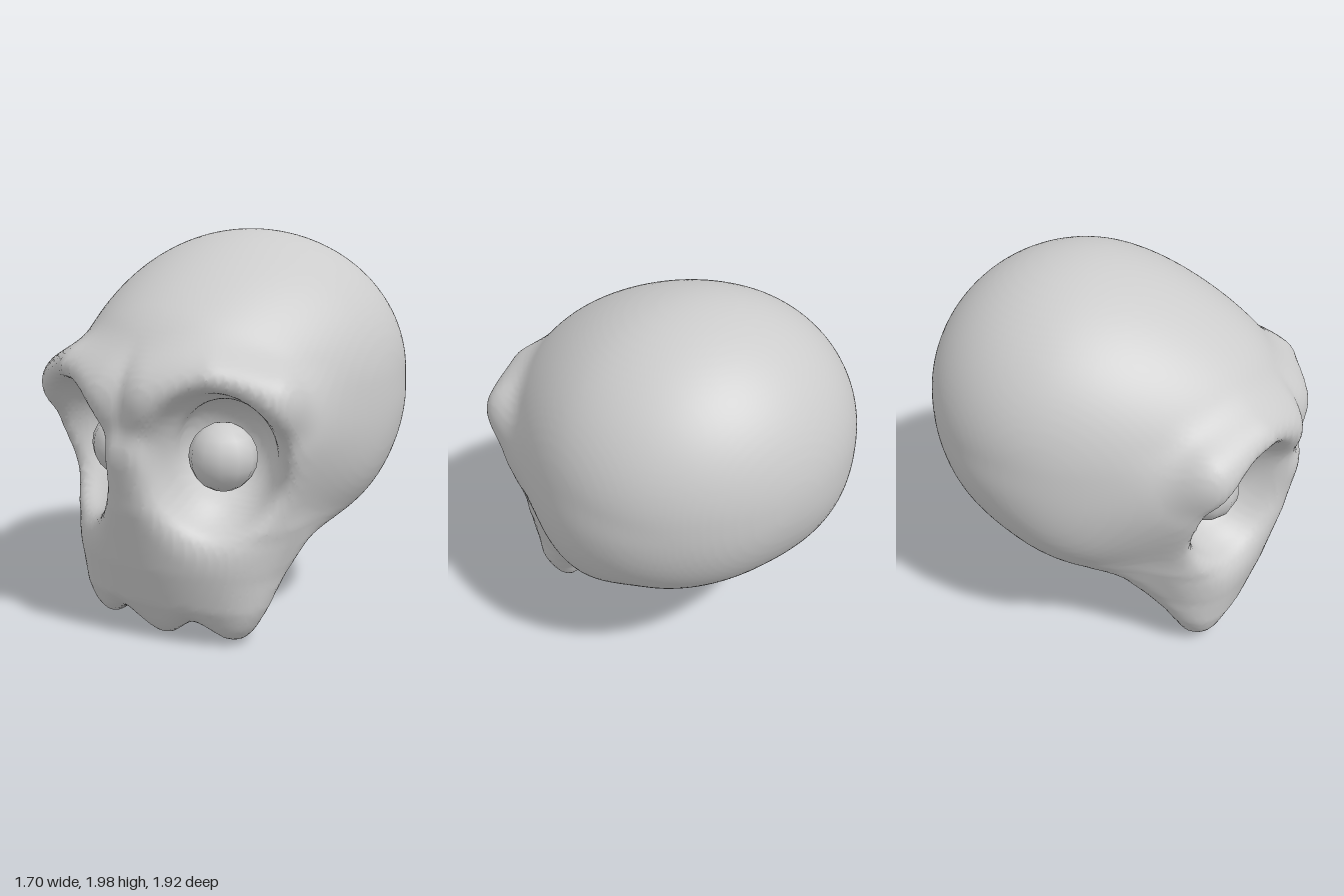
import * as THREE from 'three';

// ---- small field helpers (negative inside) ----
const smin = (a, b, k) => {
  const h = Math.max(k - Math.abs(a - b), 0);
  return Math.min(a, b) - h * h / (4 * k);
};
const smax = (a, b, k) => -smin(-a, -b, k);
const ellipsoid = (x, y, z, cx, cy, cz, rx, ry, rz) =>
  (Math.hypot((x - cx) / rx, (y - cy) / ry, (z - cz) / rz) - 1) * Math.min(rx, ry, rz);
const capsule = (x, y, z, a, b, r) => {
  const d = b.map((v, i) => v - a[i]), p = [x - a[0], y - a[1], z - a[2]];
  const dot = p[0] * d[0] + p[1] * d[1] + p[2] * d[2];
  const t = THREE.MathUtils.clamp(dot / (d[0] ** 2 + d[1] ** 2 + d[2] ** 2), 0, 1);
  return Math.hypot(p[0] - d[0] * t, p[1] - d[1] * t, p[2] - d[2] * t) - r;
};
// Rounded combination of two lengths; a larger n is boxier
const blend = (a, b, n) => Math.pow(Math.pow(Math.abs(a), n) + Math.pow(Math.abs(b), n), 1 / n);
const profile = (pts) => (t) => {
  if (t <= pts[0][0]) return pts[0][1];
  for (let i = 1; i < pts.length; i++) {
    const [a, va] = pts[i - 1], [b, vb] = pts[i];
    if (t <= b) return va + (vb - va) * (t - a) / (b - a);
  }
  return pts[pts.length - 1][1];
};

// Jaw profiles by height: half width, front, sideways curve of the front, back
const jawWidth = profile([[0, 0.52], [0.15, 0.535], [0.35, 0.56], [0.6, 0.63], [1, 0.65]]);
const jawFront = profile([[0, 0.64], [0.1, 0.7], [0.2, 0.76], [0.4, 0.83], [0.7, 0.91], [1.05, 0.96]]);
const jawCurve = profile([[0.1, 0.4], [0.55, 0.8], [0.8, 0.75], [1.1, 0.55]]);
const jawBack = profile([[0, 0.46], [0.14, 0.41], [0.25, 0.33], [0.47, 0.1], [0.55, -0.05], [0.8, -0.3]]);
// Brow ridge path
const brow = [[0.14, 1.24, 0.83], [0.4, 1.3, 0.77], [0.62, 1.26, 0.61]];

function skullField(sx, y, z) {
  const x = Math.abs(sx);
  const { smoothstep } = THREE.MathUtils;

  // Braincase: round above and behind, boxier at the lower front
  const n = y > 1.26 ? 2 : 2.4 + 1.4 * smoothstep(z, -0.5, 0.1);
  const cranium = (Math.hypot(blend(x / 0.84, (y - 1.26) / 0.735, n), (z + 0.19) / 0.77) - 1) * 0.74;

  // Forehead and upper face, squarer towards the cheeks
  const m = 3 - smoothstep(y, 1.1, 1.4);
  const height = y > 1.1 ? 0.73 : 0.62;
  let face = (Math.hypot(blend(x / 0.76, (z - 0.13) / 0.79, m), (y - 1.1) / height) - 1) * 0.68;

  // Brow ridge, merging into the forehead
  const ridge = Math.min(capsule(x, y, z, brow[0], brow[1], 0.08), capsule(x, y, z, brow[1], brow[2], 0.08));
  face = smin(face, ridge, 0.22);

  // Jaw plate with three rounded lobes along its lower edge
  const lobes = 0.032 - 0.062 * Math.cos(x * Math.PI * 2 / 0.4) + 0.2 * x * x;
  let jaw = smax(z - jawFront(y) + jawCurve(y) * x * x, (jawBack(y) - z) * 0.7, 0.1);
  jaw = smax(jaw, x - jawWidth(y), 0.16);
  jaw = smax(jaw, (lobes - y) * 0.8, 0.1);
  jaw = smax(jaw, y - 1, 0.1);
  face = smin(face, jaw, 0.12);

  // Hollow beneath, behind the jaw plate
  face = smax(face, -ellipsoid(x, y, z, 0, 0.14, 0.12, 0.32, 0.42, 0.37), 0.18);

  // Flared eye socket with a rounder cavity inside
  const flare = ellipsoid(x, y, z, 0.42, 0.92, 0.83, 0.29, 0.36, 0.41);
  const cavity = ellipsoid(x, y, z, 0.34, 0.97, 0.56, 0.23, 0.25, 0.24);
  return smax(smin(cranium, face, 0.16), -smin(flare, cavity, 0.04), 0.12);
}

// Smooth skin over the zero level of a field, one vertex per crossed cell
function skin(field, min, max, step) {
  const size = min.map((v, i) => Math.ceil((max[i] - v) / step) + 1);
  const stride = [1, size[0], size[0] * size[1]];
  const values = new Float32Array(size[0] * size[1] * size[2]);
  const each = (start, end, fn) => {
    for (let k = start; k < size[2] - end; k++)
      for (let j = start; j < size[1] - end; j++)
        for (let i = start; i < size[0] - end; i++)
          fn([i, j, k], i + j * stride[1] + k * stride[2]);
  };
  each(0, 0, (p, id) => {
    values[id] = field(...p.map((v, a) => min[a] + v * step));
  });

  // Vertices at the mean of each cell's edge crossings
  const positions = [], index = [], cell = new Int32Array(values.length).fill(-1);
  each(0, 1, (p, id) => {
    const sum = [0, 0, 0];
    let count = 0;
    for (let a = 0; a < 3; a++) {
      const b = (a + 1) % 3, c = (a + 2) % 3;
      for (let q = 0; q < 4; q++) {
        const u = q & 1, w = q >> 1;
        const start = id + u * stride[b] + w * stride[c];
        const v0 = values[start], v1 = values[start + stride[a]];
        if ((v0 < 0) === (v1 < 0)) continue;
        sum[a] += v0 / (v0 - v1);
        sum[b] += u;
        sum[c] += w;
        count++;
      }
    }
    if (!count) return;
    cell[id] = positions.length / 3;
    for (let a = 0; a < 3; a++) positions.push(min[a] + (p[a] + sum[a] / count) * step);
  });

  // A quad around every crossed grid edge
  each(1, 1, (p, id) => {
    for (let a = 0; a < 3; a++) {
      const inside = values[id] < 0;
      if (inside === (values[id + stride[a]] < 0)) continue;
      const sb = stride[(a + 1) % 3], sc = stride[(a + 2) % 3];
      const q = [cell[id], cell[id - sb], cell[id - sb - sc], cell[id - sc]];
      if (!inside) q.reverse();
      index.push(q[0], q[1], q[2], q[0], q[2], q[3]);
    }
  });

  const geometry = new THREE.BufferGeometry();
  geometry.setAttribute('position', new THREE.Float32BufferAttribute(positions, 3));
  geometry.setIndex(index);
  geometry.computeVertexNormals();
  return geometry;
}

export function createModel() {
  const group = new THREE.Group();
  group.name = 'skullModel';
  const material = new THREE.MeshStandardMaterial({ color: 0xcccccc });

  // Skull
  const skull = new THREE.Mesh(skin(skullField, [-0.95, -0.1, -1.075], [0.95, 2.1, 1.1], 0.025), material);
  skull.name = 'skull';
  group.add(skull);

  // Eyeballs
  const eyeGeometry = new THREE.SphereGeometry(0.167, 12, 10);
  for (const side of [1, -1]) {
    const eye = new THREE.Mesh(eyeGeometry, material);
    eye.name = side > 0 ? 'leftEye' : 'rightEye';
    eye.position.set(side * 0.3, 0.93, 0.53);
    group.add(eye);
  }
  return group;
}
